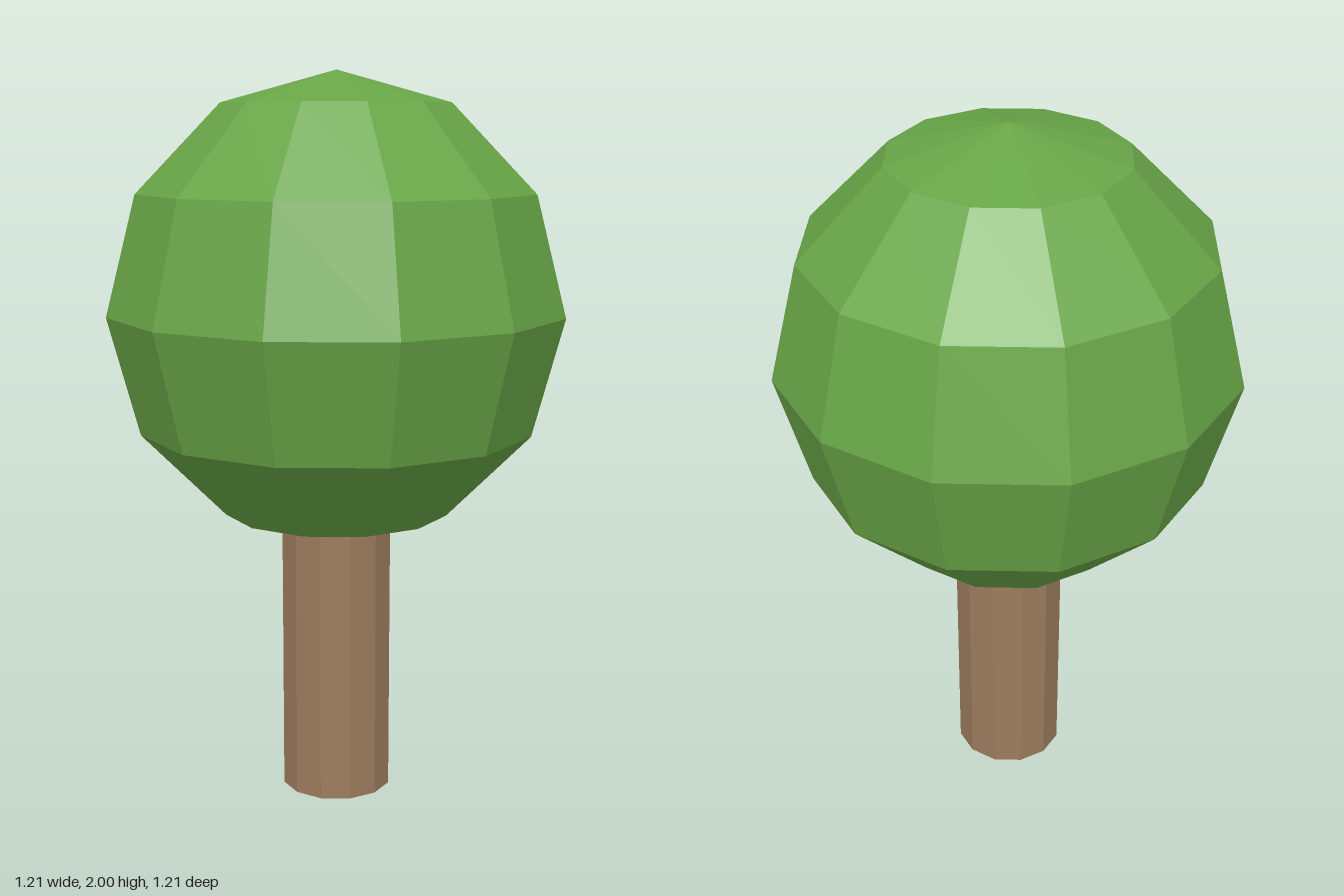
import * as THREE from 'three';

const SIDES = 12;
const TURN = Math.PI / SIDES; // half a side, so a flat face points forward

function material(name, color) {
  const m = new THREE.MeshStandardMaterial({ color, flatShading: true });
  m.name = name;
  return m;
}

function addPart(group, name, geometry, mat, y) {
  const mesh = new THREE.Mesh(geometry.rotateY(TURN), mat);
  mesh.name = name;
  mesh.position.y = y;
  group.add(mesh);
  return mesh;
}

export function createModel() {
  const tree = new THREE.Group();
  tree.name = 'tree';

  // Straight trunk, its top hidden inside the crown
  const trunkHeight = 0.8;
  const trunk = new THREE.CylinderGeometry(0.155, 0.155, trunkHeight, SIDES);
  addPart(tree, 'trunk', trunk, material('bark brown', 0x9c7c5e), trunkHeight / 2);

  // Faceted round crown, slightly taller than wide
  const crown = new THREE.SphereGeometry(1, SIDES, 6).scale(0.625, 0.64, 0.625);
  addPart(tree, 'crown', crown, material('leaf green', 0x68a547), 1.36);

  return tree;
}
